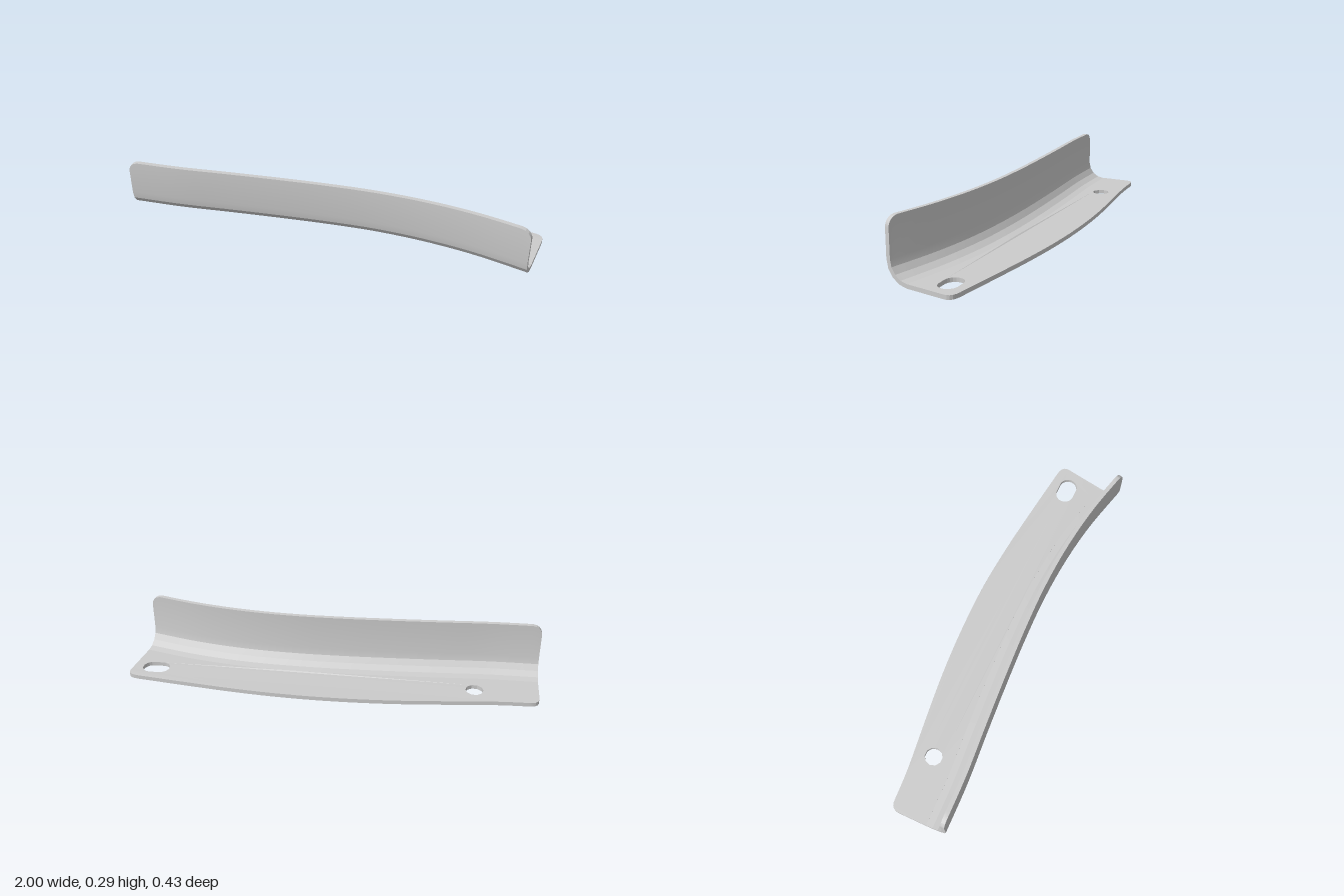
import * as THREE from 'three';
import { toCreasedNormals } from 'three/addons/utils/BufferGeometryUtils.js';

const HEIGHT = 0.29, THICK = 0.02, BEND = 0.108, CORNER = 0.05;
const clamp = THREE.MathUtils.clamp;
const spline = (pts) => new THREE.SplineCurve(pts.map(([x, z]) => new THREE.Vector2(x, z)));

// Outer foot of the upright flange, seen from above as (x, z)
const frontCurve = spline([[-1, 0.155], [-0.757, 0.149], [-0.514, 0.131], [-0.27, 0.115],
  [-0.027, 0.103], [0.216, 0.1], [0.459, 0.115], [0.702, 0.152], [0.945, 0.212]]);
// Free edge of the floor flange, right to left
const backCurve = spline([[0.95, -0.137], [0.7, -0.17], [0.45, -0.2], [0.2, -0.219],
  [-0.05, -0.219], [-0.3, -0.205], [-0.55, -0.178], [-0.8, -0.148], [-0.95, -0.139]]);

// The floor dips slightly towards the slotted end
const lift = (x) => 0.01 * (1 - clamp((x - 0.2) / 0.75, 0, 1));

// Point at inward distance d from the front curve; the slotted end is cut at a slant
function inward(p, d) {
  const skew = 0.177 * clamp(p.x / 0.945, 0, 1);
  return [p.x + skew * d, p.y - d];
}

// Stations along the length, dense at both rounded ends
function stations() {
  const ts = [], e = 0.045;
  for (let i = 0; i < 6; i++) ts.push(e * (1 - Math.cos((i / 6) * Math.PI / 2)));
  for (let i = 0; i <= 28; i++) ts.push(e + (1 - 2 * e) * i / 28);
  for (let i = 5; i >= 0; i--) ts.push(1 - ts[i]);
  return ts.map((t) => frontCurve.getPoint(t));
}

// One side of the L section as [distance inward, height], top to bottom
function halfSection(offset, top) {
  const r = BEND - offset, pts = [[offset, top]];
  for (let i = 0; i <= 4; i++) {
    const a = (i / 4) * Math.PI / 2;
    pts.push([BEND - r * Math.cos(a), BEND - r * Math.sin(a)]);
  }
  return pts;
}

// Upright flange with the bend, lofted through the stations
function flangeGeometry(cols) {
  const pos = [], idx = [];
  const x0 = cols[0].x, x1 = cols[cols.length - 1].x;
  let n = 0;
  for (const p of cols) {
    const gap = CORNER - Math.min(p.x - x0, x1 - p.x, CORNER);
    const top = HEIGHT - CORNER + Math.sqrt(Math.max(0, CORNER * CORNER - gap * gap));
    const loop = [...halfSection(0, top), ...halfSection(THICK, top).reverse()];
    n = loop.length;
    for (const [d, y] of loop) {
      const [x, z] = inward(p, d);
      pos.push(x, y + lift(x) * (1 - y / HEIGHT), z);
    }
  }
  for (let i = 0; i < cols.length - 1; i++) {
    for (let j = 0; j < n; j++) {
      const k = (j + 1) % n;
      const a = i * n + j, b = a + n, c = i * n + k, d = c + n;
      idx.push(a, c, b, b, c, d);
    }
  }
  // End caps
  const last = (cols.length - 1) * n;
  for (let j = 0; j < n / 2 - 1; j++) {
    const o = j, p = j + 1, q = n - 1 - j, r = n - 2 - j;
    idx.push(last + o, last + p, last + q, last + q, last + p, last + r);
    idx.push(o, q, p, q, r, p);
  }
  const g = new THREE.BufferGeometry();
  g.setAttribute('position', new THREE.Float32BufferAttribute(pos, 3));
  g.setIndex(idx);
  return toCreasedNormals(g, 0.3);
}

// Floor flange with a round hole and a slot; shape y is -z
function floorGeometry(cols) {
  const shape = new THREE.Shape();
  cols.forEach((p, i) => {
    const [x, z] = inward(p, BEND);
    if (i) shape.lineTo(x, -z); else shape.moveTo(x, -z);
  });
  shape.lineTo(0.998, 0.09);
  shape.quadraticCurveTo(1.006, 0.13, 0.95, 0.137);
  backCurve.getPoints(32).slice(1).forEach((p) => shape.lineTo(p.x, -p.y));
  shape.quadraticCurveTo(-1, 0.139, -1, 0.095);

  const hole = new THREE.Path();
  hole.absarc(-0.695, 0.063, 0.043, 0, Math.PI * 2, true);
  const slot = new THREE.Path();
  slot.absarc(0.9, 0.053, 0.045, Math.PI / 2, -Math.PI / 2, true);
  slot.absarc(0.855, 0.053, 0.045, -Math.PI / 2, -Math.PI * 1.5, true);
  shape.holes.push(hole, slot);

  const g = new THREE.ExtrudeGeometry(shape, { depth: THICK, bevelEnabled: false, curveSegments: 5 });
  g.rotateX(-Math.PI / 2);
  const pos = g.attributes.position;
  for (let i = 0; i < pos.count; i++) pos.setY(i, pos.getY(i) + lift(pos.getX(i)));
  return toCreasedNormals(g, 0.3);
}

export function createModel() {
  const group = new THREE.Group();
  group.name = 'curvedAngleBracket';
  const material = new THREE.MeshStandardMaterial({ color: 0xcccccc });
  const cols = stations();
  const add = (name, geometry) => {
    const mesh = new THREE.Mesh(geometry, material);
    mesh.name = name;
    group.add(mesh);
  };
  add('uprightFlange', flangeGeometry(cols));
  add('floorFlange', floorGeometry(cols));
  return group;
}
